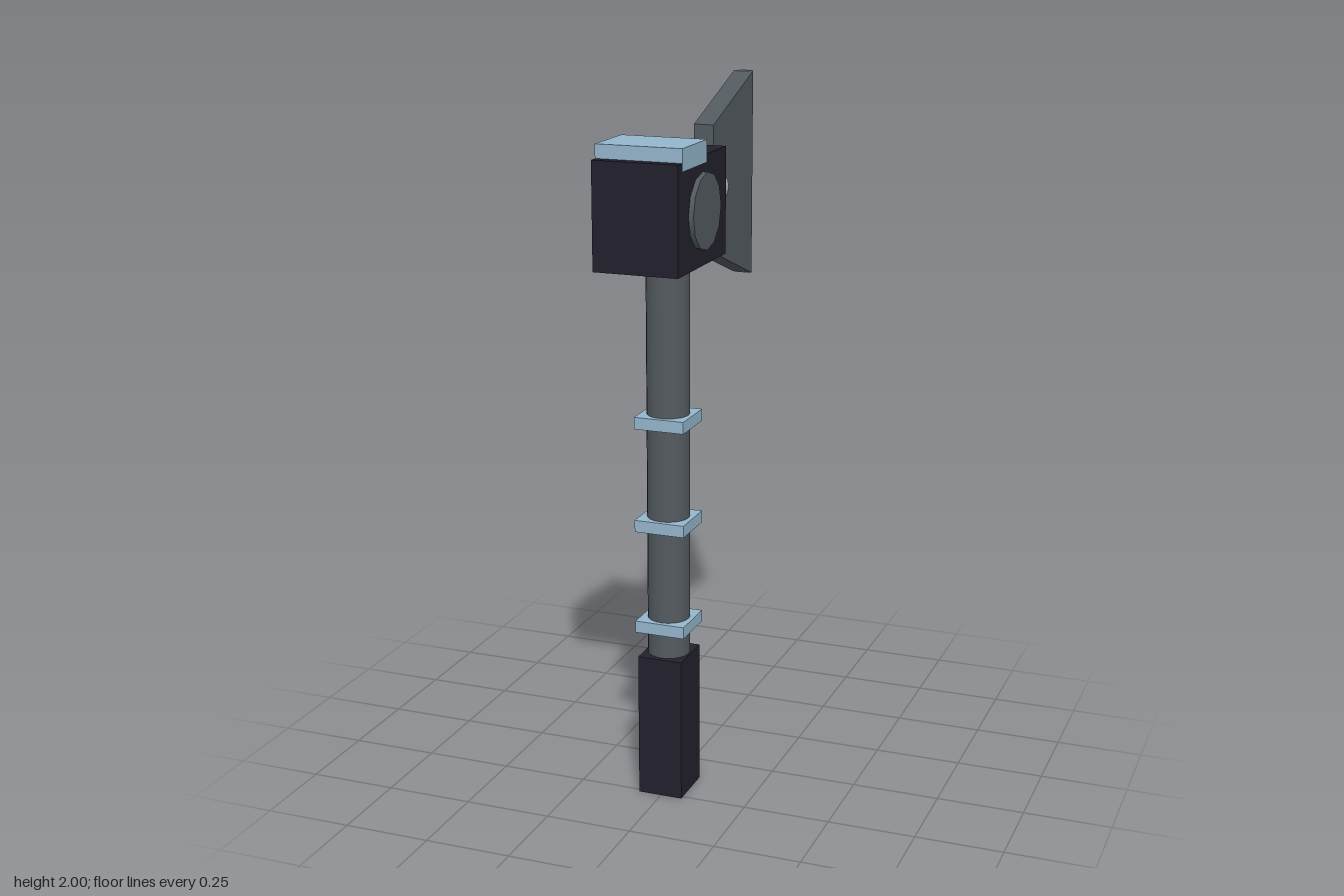
import * as THREE from 'three';

const material = (name, color) => {
  const m = new THREE.MeshStandardMaterial({ color });
  m.name = name;
  return m;
};

export function createModel() {
  const group = new THREE.Group();
  const dark = material('dark navy', 0x22212d);
  const grey = material('steel grey', 0x535a5f);
  const blue = material('pale blue', 0x94b6cc);
  const silver = material('silver', 0xb4b7c1);

  const add = (name, geometry, mat, x, y, z) => {
    const mesh = new THREE.Mesh(geometry, mat);
    mesh.name = name;
    mesh.position.set(x, y, z);
    group.add(mesh);
    return mesh;
  };
  const box = (name, mat, w, h, d, x, y, z) =>
    add(name, new THREE.BoxGeometry(w, h, d), mat, x, y, z);

  // Handle: square grip, round shaft and square collars
  const shaftZ = 0.19;
  box('grip', dark, 0.13, 0.42, 0.146, -0.002, 0.21, shaftZ);
  add('shaft', new THREE.CylinderGeometry(0.06, 0.06, 1.16, 20), grey, -0.002, 0.99, shaftZ);
  for (const y of [0.51, 0.81, 1.108]) {
    box('collar', blue, 0.145, 0.034, 0.146, -0.002, y, shaftZ);
  }

  // Hammer head with a cap plate and a disc on each cheek
  box('head', dark, 0.24, 0.294, 0.357, 0, 1.705, 0.247);
  box('headCap', blue, 0.243, 0.06, 0.18, 0, 1.86, 0.307);
  for (const side of [-1, 1]) {
    const disc = add('cheekDisc', new THREE.CylinderGeometry(0.104, 0.104, 0.03, 12), grey,
      side * 0.119, 1.705, 0.247);
    disc.rotation.z = Math.PI / 2;
  }

  // Rod joining the head to the blade
  const rod = add('rod', new THREE.CylinderGeometry(0.053, 0.053, 0.23, 20), silver, 0, 1.705, -0.025);
  rod.rotation.x = Math.PI / 2;

  // Flared blade, drawn in (-z, y) and turned to point backwards
  const profile = new THREE.Shape([
    new THREE.Vector2(0.08, 1.526), new THREE.Vector2(0.408, 1.405),
    new THREE.Vector2(0.408, 2), new THREE.Vector2(0.08, 1.885),
  ]);
  const bladeGeometry = new THREE.ExtrudeGeometry(profile, { depth: 0.058, bevelEnabled: false });
  bladeGeometry.translate(0, 0, -0.029).rotateY(Math.PI / 2);
  add('blade', bladeGeometry, grey, 0, 0, 0);
  box('cuttingEdge', blue, 0.036, 0.595, 0.024, 0, 1.7025, -0.415);

  return group;
}
